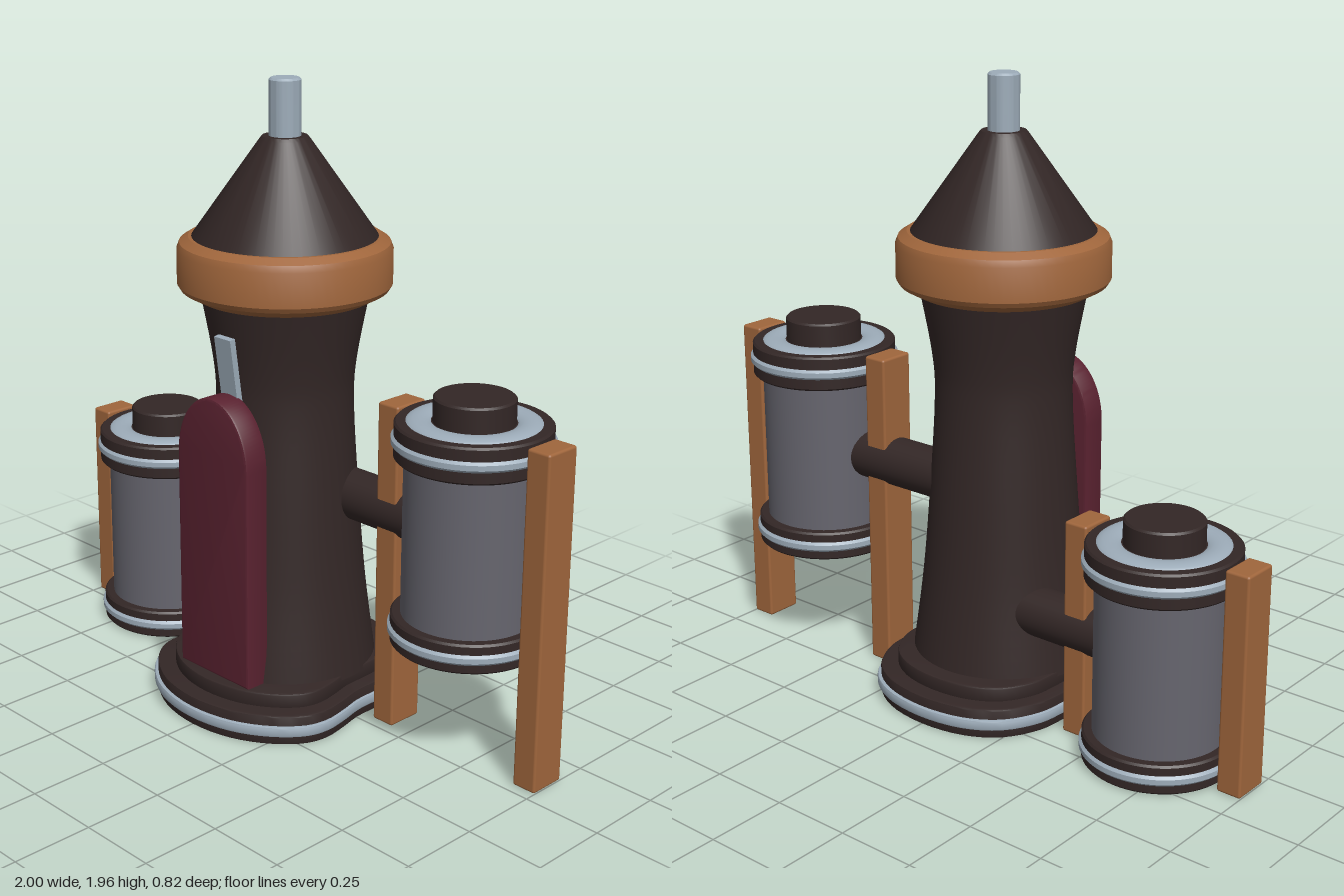
import * as THREE from 'three';
import { toCreasedNormals } from 'three/addons/utils/BufferGeometryUtils.js';
import { RoundedBoxGeometry } from 'three/addons/geometries/RoundedBoxGeometry.js';

const mat = (name, color) => {
  const m = new THREE.MeshStandardMaterial({ color });
  m.name = name;
  return m;
};

const V = (x, y) => new THREE.Vector2(x, y);

export function createModel() {
  const dark = mat('darkBrown', 0x33272a);
  dark.color.set(0x332726);
  const copper = mat('copper', 0xa0663c);
  const steel = mat('steel', 0x9dacb9);
  const maroon = mat('maroon', 0x5a2230);
  const grey = mat('tankGrey', 0x66656e);

  const model = new THREE.Group();
  model.name = 'towerWithTanks';

  const add = (parent, name, geometry, material, x = 0, y = 0, z = 0) => {
    const mesh = new THREE.Mesh(geometry, material);
    mesh.name = name;
    mesh.position.set(x, y, z);
    parent.add(mesh);
    return mesh;
  };
  // Turned part from [radius, height] pairs, with crisp rims
  const turned = (pairs, segments = 64) =>
    toCreasedNormals(new THREE.LatheGeometry(pairs.map(([r, y]) => V(r, y)), segments), 0.5);
  // Short disc with softened rims
  const disc = (r, y0, y1, b = 0.006) =>
    turned([[0, y0], [r - b, y0], [r, y0 + b], [r, y1 - b], [r - b, y1], [0, y1]]);

  // Base plates: a two-lobed outline, mirrored about x = 0
  const half = [[0, -0.4], [0.15, -0.375], [0.25, -0.31], [0.31, -0.2], [0.322, -0.1], [0.325, 0],
    [0.342, 0.08], [0.352, 0.16], [0.335, 0.23], [0.265, 0.31], [0.15, 0.375], [0, 0.4]];
  const outline = [...half, ...half.slice(1, -1).reverse().map(([x, z]) => [-x, z])];
  const loop = new THREE.CatmullRomCurve3(
    outline.map(([x, z]) => new THREE.Vector3(x, -z, 0)), true).getPoints(88).slice(0, -1);
  const plate = (scale, y0, y1) => {
    const b = 0.006;
    const shape = new THREE.Shape(loop.map((p) => V(p.x * scale, p.y * scale)));
    const g = new THREE.ExtrudeGeometry(shape, {
      depth: y1 - y0 - 2 * b, bevelThickness: b, bevelSize: b, bevelOffset: -b, bevelSegments: 2,
    });
    g.rotateX(-Math.PI / 2).translate(0, y0 + b, 0);
    return toCreasedNormals(g, 0.6);
  };
  const base = new THREE.Group();
  base.name = 'base';
  model.add(base);
  add(base, 'baseFlange', plate(1, 0.005, 0.1), dark);
  add(base, 'baseBand', plate(1.03, 0.035, 0.068), steel);
  add(base, 'baseStep', plate(0.86, 0.095, 0.145), dark);

  // Waisted tower
  const waist = new THREE.SplineCurve([V(0.288, 0.13), V(0.253, 0.4), V(0.228, 0.7),
    V(0.212, 0.97), V(0.22, 1.12), V(0.262, 1.35)]).getPoints(30);
  add(model, 'towerBody', new THREE.LatheGeometry(waist, 64), dark);

  // Crown, roof and mast
  add(model, 'crownRing', turned([[0.24, 1.31], [0.27, 1.31], [0.316, 1.335], [0.325, 1.35],
    [0.325, 1.455], [0.317, 1.475], [0.29, 1.492], [0.25, 1.492]]), copper);
  add(model, 'roof', turned([[0, 1.48], [0.282, 1.48], [0.28, 1.492], [0.076, 1.78],
    [0.068, 1.79], [0, 1.79]]), dark);
  add(model, 'mast', disc(0.048, 1.77, 1.96), steel);

  // Arched door
  const arch = new THREE.Shape();
  arch.moveTo(-0.146, 0.15);
  arch.lineTo(0.146, 0.15);
  arch.lineTo(0.146, 0.84);
  arch.absellipse(0, 0.84, 0.146, 0.195, 0, Math.PI, false);
  arch.closePath();
  const doorGeo = new THREE.ExtrudeGeometry(arch, {
    depth: 0.069, bevelThickness: 0.008, bevelSize: 0.008, bevelSegments: 2, curveSegments: 24,
  });
  add(model, 'door', toCreasedNormals(doorGeo, 0.5), maroon, 0, 0, 0.228);

  // Slit window lying along the flare of the tower
  const slit = add(model, 'slitWindow', new THREE.BoxGeometry(0.07, 0.22, 0.02), steel, 0, 1.112, 0.232);
  slit.rotation.x = 0.14;

  // Tank with rims, cap, posts and connecting pipe
  const tank = (name, side, lift, pipeY, postTop) => {
    const g = new THREE.Group();
    g.name = name;
    g.position.set(side * 0.677, 0, -0.097);
    model.add(g);
    add(g, 'tankBody', new THREE.CylinderGeometry(0.2, 0.2, 0.56, 64, 1, true), grey, 0, lift + 0.35);
    for (const [label, y0, y1, ring] of [['lower', 0.008, 0.1, 0.053], ['upper', 0.583, 0.693, 0.637]]) {
      add(g, label + 'Rim', disc(0.23, y0, y1), dark, 0, lift);
      add(g, label + 'Band', disc(0.238, ring - 0.018, ring + 0.018, 0.01), steel, 0, lift);
    }
    // Low rounded ring around the cap
    const ringGeo = new THREE.TorusGeometry(0.16, 0.042, 16, 64);
    ringGeo.rotateX(Math.PI / 2).scale(1, 0.45, 1);
    add(g, 'topRing', ringGeo, steel, 0, lift + 0.684);
    add(g, 'cap', disc(0.12, 0.68, 0.77), dark, 0, lift);
    for (const x of [-0.28, 0.28]) {
      add(g, x * side < 0 ? 'innerPost' : 'outerPost',
        new RoundedBoxGeometry(0.08, postTop - 0.005, 0.122, 2, 0.008), copper,
        x + side * 0.003, (postTop + 0.005) / 2, 0.003);
    }
    const pipe = add(g, 'pipe', new THREE.CylinderGeometry(0.078, 0.078, 0.36, 32), dark, -side * 0.36, pipeY, 0);
    pipe.rotation.z = Math.PI / 2;
  };
  tank('rightTank', -1, 0, 0.343, 0.695);
  tank('leftTank', 1, 0.355, 0.695, 1.045);

  return model;
}
